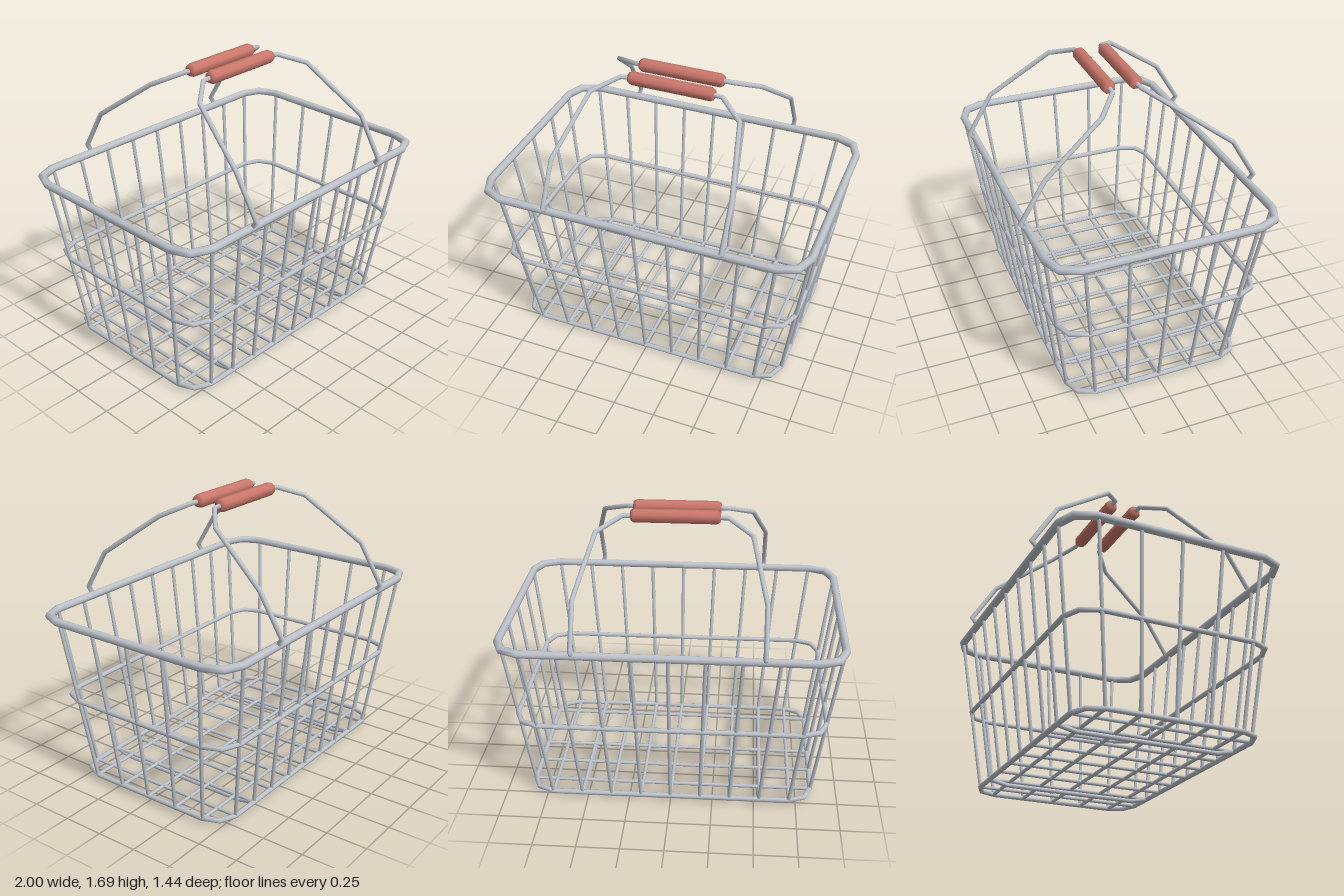
import * as THREE from 'three';

const steel = new THREE.MeshStandardMaterial({ color: 0xbec3cb });
steel.name = 'steel wire';
const red = new THREE.MeshStandardMaterial({ color: 0xcc786c });
red.name = 'red grip';

const V = (x, y, z) => new THREE.Vector3(x, y, z);

// Round wire swept along a polyline, with mitred bends
function wireGeometry(points, radius, sides = 8) {
  const dirs = points.slice(1).map((p, i) => p.clone().sub(points[i]).normalize());
  const d0 = dirs[0];
  const ref = Math.abs(d0.y) > 0.8 ? V(0, 0, 1) : V(0, 1, 0);
  const u = ref.cross(d0).normalize();
  const v = d0.clone().cross(u);
  let ring = [];
  for (let j = 0; j < sides; j++) {
    const a = (j / sides) * Math.PI * 2;
    ring.push(points[0].clone().addScaledVector(u, Math.cos(a) * radius).addScaledVector(v, Math.sin(a) * radius));
  }
  const positions = [];
  const index = [];
  points.forEach((p, i) => {
    if (i > 0) {
      // slide the previous section along the segment onto the mitre plane
      const d = dirs[i - 1];
      const n = d.clone().add(dirs[i] || d).normalize();
      ring = ring.map((q) => q.clone().addScaledVector(d, p.clone().sub(q).dot(n) / d.dot(n)));
      for (let j = 0; j < sides; j++) {
        const k = (j + 1) % sides;
        const a = (i - 1) * sides;
        const b = i * sides;
        index.push(a + j, a + k, b + j, a + k, b + k, b + j);
      }
    }
    ring.forEach((q) => positions.push(q.x, q.y, q.z));
  });
  const g = new THREE.BufferGeometry();
  g.setAttribute('position', new THREE.Float32BufferAttribute(positions, 3));
  g.setIndex(index);
  g.computeVertexNormals();
  return g;
}

// Closed horizontal hoop with two-segment rounded corners
function hoopPoints(hx, hz, y, r) {
  const pts = [V(0, y, hz)];
  const corners = [[1, 1, 0], [1, -1, 1], [-1, -1, 2], [-1, 1, 3]];
  for (const [sx, sz, q] of corners) {
    for (let i = 0; i <= 2; i++) {
      const a = Math.PI / 2 - (q + i / 2) * (Math.PI / 2);
      pts.push(V(sx * (hx - r) + Math.cos(a) * r, y, sz * (hz - r) + Math.sin(a) * r));
    }
  }
  pts.push(V(0, y, hz));
  return pts;
}

export function createModel() {
  const model = new THREE.Group();
  model.name = 'wireBasket';

  const group = (name) => {
    const g = new THREE.Group();
    g.name = name;
    model.add(g);
    return g;
  };
  const addWire = (parent, name, points, radius) => {
    const mesh = new THREE.Mesh(wireGeometry(points, radius), steel);
    mesh.name = name;
    parent.add(mesh);
  };

  const top = { x: 0.976, y: 1.04, z: 0.666 };
  const base = { x: 0.841, y: 0.038, z: 0.53 };

  // Hoops
  addWire(model, 'rim', hoopPoints(top.x, top.z, top.y, 0.15), 0.024);
  addWire(model, 'middleHoop', hoopPoints(0.906, 0.599, 0.538, 0.145), 0.015);
  addWire(model, 'baseHoop', hoopPoints(base.x, base.z, base.y, 0.135), 0.015);

  const walls = group('wallWires');
  const floor = group('floorWires');

  // Front and back uprights with the floor wires joining them
  for (let i = -4; i <= 4; i++) {
    const xb = i * 0.177;
    const xt = i * 0.206;
    for (const s of [1, -1]) {
      addWire(walls, s > 0 ? 'frontUpright' : 'backUpright',
        [V(xb, base.y, s * base.z), V(xt, top.y, s * top.z)], 0.011);
    }
    addWire(floor, 'floorCrossWire', [V(xb, base.y, base.z), V(xb, base.y, -base.z)], 0.011);
  }

  // Side uprights with the long floor wires joining them
  for (let i = -2; i <= 2; i++) {
    const zb = i * 0.2;
    const zt = i * 0.25;
    for (const s of [1, -1]) {
      addWire(walls, s > 0 ? 'leftUpright' : 'rightUpright',
        [V(s * base.x, base.y, zb), V(s * top.x, top.y, zt)], 0.011);
    }
    addWire(floor, 'floorLongWire', [V(-base.x, base.y, zb), V(base.x, base.y, zb)], 0.011);
  }

  // Skids under the floor
  for (const s of [1, -1]) {
    const x = s * 0.531;
    addWire(model, s > 0 ? 'leftSkid' : 'rightSkid', [
      V(x, base.y, 0.53), V(x, 0.014, 0.42), V(x, 0.014, -0.42), V(x, base.y, -0.53),
    ], 0.014);
  }

  // Handles: half a path, mirrored across x, one for the front and one for the back
  const half = [
    [0.531, 1.04, 0.665], [0.531, 1.085, 0.703], [0.531, 1.328, 0.556],
    [0.445, 1.587, 0.2], [0.305, 1.647, 0.085], [0.24, 1.649, 0.08],
  ];
  const gripProfile = [[0, -0.257], [0.03, -0.257], [0.04, -0.238], [0.04, 0.238], [0.03, 0.257], [0, 0.257]]
    .map(([r, y]) => new THREE.Vector2(r, y));
  for (const s of [1, -1]) {
    const handle = group(s > 0 ? 'frontHandle' : 'backHandle');
    const path = [
      ...half.map(([x, y, z]) => V(x, y, s * z)),
      ...half.slice().reverse().map(([x, y, z]) => V(-x, y, s * z)),
    ];
    addWire(handle, 'handleWire', path, 0.014);
    const grip = new THREE.Mesh(new THREE.LatheGeometry(gripProfile, 8, Math.PI / 8), red);
    grip.name = 'grip';
    grip.rotation.z = Math.PI / 2;
    grip.position.set(0, 1.649, s * 0.08);
    handle.add(grip);
  }

  return model;
}
